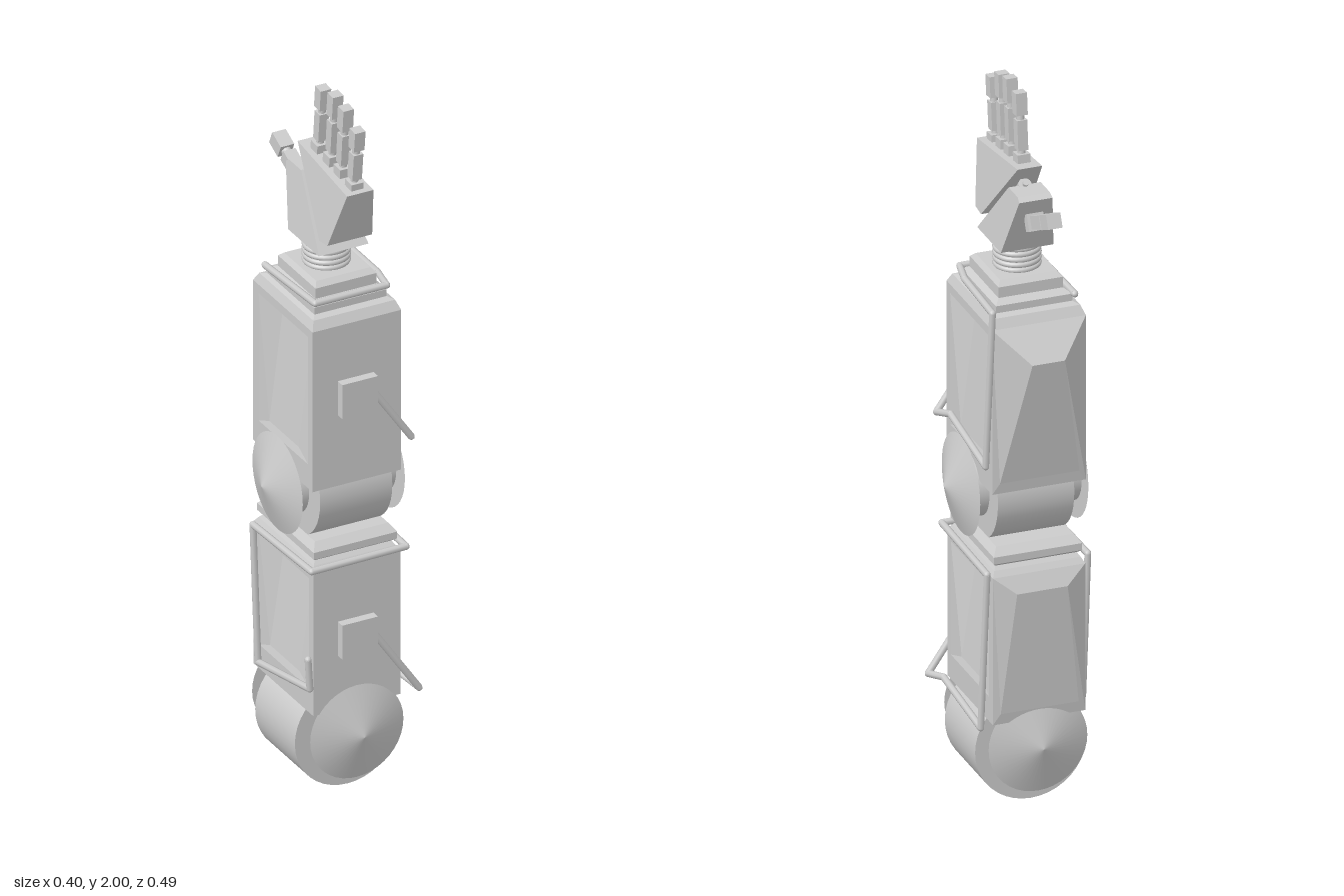
import * as THREE from 'three';

const mat = new THREE.MeshStandardMaterial({ color: 0xcccccc });
const flat = new THREE.MeshStandardMaterial({ color: 0xcccccc, flatShading: true });
const V = (x, y, z) => new THREE.Vector3(x, y, z);
const ZF = 0.197, ZB = -0.128; // front and back planes of the limb shells

function add(parent, name, geo, material = mat) {
  const m = new THREE.Mesh(geo, material);
  m.name = name;
  parent.add(m);
  return m;
}

// Fills a face from nested four-point rings, counter-clockwise seen from outside
function nestedFace(out, rings) {
  const quad = (a, b, c, d) => [a, b, c, a, c, d].forEach(p => out.push(...p));
  for (let i = 0; i + 1 < rings.length; i++)
    for (let k = 0; k < 4; k++) {
      const n = (k + 1) % 4;
      quad(rings[i][k], rings[i][n], rings[i + 1][n], rings[i + 1][k]);
    }
  quad(...rings[rings.length - 1]);
}

// Limb shell: recessed sides, bulging back, stepped top
function limbShell(parent, name, o) {
  const { w, y0, y1 } = o, out = [];
  const side = (x, zf, zb, lo, hi, xl = x) => [[xl, lo, zf], [xl, lo, zb], [x, hi, zb], [x, hi, zf]];
  const right = [
    side(w, ZF, ZB, y0, y1),
    side(w, 0.172, -0.098, y0 + 0.07, y1 - 0.025),
    side(w - 0.045, 0.11, -0.05, y0 + 0.09, y1 - 0.065, w - 0.006)
  ];
  nestedFace(out, right);
  nestedFace(out, right.map(r => r.map(([x, y, z]) => [-x, y, z]).reverse()));
  const back = (xl, xh, lo, hi, zl, zh) => [[xl, lo, zl], [-xl, lo, zl], [-xh, hi, zh], [xh, hi, zh]];
  nestedFace(out, [back(w, w, y0, y1, ZB, ZB), back(w - 0.02, o.bulgeW, y0 + 0.03, o.bulgeY, ZB - 0.004, o.bulgeZ)]);
  nestedFace(out, [[[-w, y0, ZF], [w, y0, ZF], [w, y1, ZF], [-w, y1, ZF]]]);
  nestedFace(out, [[[-w, y0, ZB], [w, y0, ZB], [w, y0, ZF], [-w, y0, ZF]]]);
  nestedFace(out, [[0, y1], ...o.top].map(([t, y]) => {
    const x = w - t * 0.68;
    return [[-x, y, ZF - t], [x, y, ZF - t], [x, y, ZB + t], [-x, y, ZB + t]];
  }));
  const g = new THREE.BufferGeometry();
  g.setAttribute('position', new THREE.Float32BufferAttribute(out, 3));
  g.computeVertexNormals();
  add(parent, name, g, flat);
}

// Rotary joint along local y: drum, hub and a shallow cone at each end
function joint(parent, name, drumR, drumHalf, hubHalf, tip, coneOffset = 0) {
  const g = new THREE.Group();
  g.name = name;
  add(g, 'drum', new THREE.CylinderGeometry(drumR, drumR, drumHalf * 2, 40));
  add(g, 'hub', new THREE.CylinderGeometry(0.09, 0.09, hubHalf * 2, 32)).position.z = coneOffset;
  for (const s of [1, -1]) {
    const c = add(g, 'coneCap', new THREE.ConeGeometry(0.137, tip - hubHalf, 40));
    c.position.set(0, s * (tip + hubHalf) / 2, coneOffset);
    if (s < 0) c.rotation.x = Math.PI;
  }
  parent.add(g);
  return g;
}

function rod(parent, name, a, b, r, sides = 8) {
  const m = add(parent, name, new THREE.CylinderGeometry(r, r, a.distanceTo(b), sides));
  m.position.copy(a).lerp(b, 0.5);
  m.quaternion.setFromUnitVectors(V(0, 1, 0), b.clone().sub(a).normalize());
}

// Cable: straight rods with round elbows
function cable(parent, name, pts) {
  const g = new THREE.Group();
  g.name = name;
  const p = pts.map(q => V(...q));
  p.forEach((v, i) => {
    add(g, 'bend', new THREE.SphereGeometry(0.0095, 8, 6)).position.copy(v);
    if (i) rod(g, 'cableSection', p[i - 1], v, 0.0095);
  });
  parent.add(g);
}

// Finger: three blocks on a thin core
function finger(parent, name, a, b, w) {
  const g = new THREE.Group();
  g.name = name;
  const len = a.distanceTo(b);
  add(g, 'core', new THREE.CylinderGeometry(w * 0.34, w * 0.34, len * 0.95, 10)).position.y = len * 0.475;
  for (const [s, e, k] of [[0, 0.15, 1.15], [0.2, 0.62, 0.9], [0.69, 1, 1]])
    add(g, 'segment', new THREE.BoxGeometry(w * k, (e - s) * len, w * k)).position.y = (s + e) / 2 * len;
  g.position.copy(a);
  g.quaternion.setFromUnitVectors(V(0, 1, 0), b.clone().sub(a).normalize());
  parent.add(g);
}

// Hand plate: (z, y) outline given width along x, narrowing upwards
function handPlate(parent, name, outline) {
  const s = new THREE.Shape(outline.map(([z, y]) => new THREE.Vector2(-z, y)));
  const g = new THREE.ExtrudeGeometry(s, { depth: 2, bevelEnabled: false });
  g.translate(0, 0, -1).rotateY(Math.PI / 2);
  const p = g.attributes.position;
  for (let i = 0; i < p.count; i++)
    p.setX(i, p.getX(i) * THREE.MathUtils.mapLinear(p.getY(i), 1.56, 1.8, 0.073, 0.034));
  g.computeVertexNormals();
  add(parent, name, g, flat);
}

export function createModel() {
  const arm = new THREE.Group();
  arm.name = 'mechanicalArm';

  // Shoulder and elbow joints
  const shoulder = joint(arm, 'shoulderJoint', 0.155, 0.108, 0.158, 0.203, -0.025);
  shoulder.rotation.x = Math.PI / 2;
  shoulder.position.set(0, 0.155, 0.038);
  const elbow = joint(arm, 'elbowJoint', 0.15, 0.106, 0.15, 0.198);
  elbow.rotation.z = Math.PI / 2;
  elbow.position.set(0, 0.875, 0.043);

  // Upper arm and forearm shells
  limbShell(arm, 'upperArm', {
    w: 0.128, y0: 0.255, y1: 0.675, bulgeW: 0.07, bulgeY: 0.63, bulgeZ: -0.152,
    top: [[0.012, 0.69], [0.022, 0.7], [0.008, 0.71], [0.008, 0.73], [0.03, 0.75]]
  });
  limbShell(arm, 'forearm', {
    w: 0.13, y0: 0.915, y1: 1.385, bulgeW: 0.045, bulgeY: 1.3, bulgeZ: -0.197,
    top: [[0.015, 1.41], [0.035, 1.415], [0.035, 1.435], [0.06, 1.445], [0.06, 1.475], [0.075, 1.488]]
  });

  // Front control blocks
  for (const y of [0.465, 1.173])
    add(arm, 'frontBlock', new THREE.BoxGeometry(0.105, 0.1, 0.04)).position.set(-0.004, y, 0.202);

  // Cables: front block, along the side, up the back corner, around the top
  cable(arm, 'forearmCable', [
    [0.045, 1.17, 0.205], [0.155, 1.01, 0.205], [0.145, 1.035, 0.13], [0.145, 0.995, -0.12],
    [0.13, 1.435, -0.13], [0.125, 1.44, 0.08], [0.11, 1.443, 0.155], [-0.1, 1.443, 0.155],
    [-0.11, 1.437, -0.1]
  ]);
  cable(arm, 'upperArmCable', [
    [0.045, 0.46, 0.205], [0.178, 0.265, 0.205], [0.16, 0.28, 0.14], [0.155, 0.245, -0.11],
    [0.145, 0.69, -0.13], [0.14, 0.69, 0.205], [-0.14, 0.69, 0.21], [-0.148, 0.685, -0.095],
    [-0.136, 0.28, -0.09], [-0.14, 0.34, 0.2], [-0.148, 0.43, 0.205]
  ]);

  // Bellows wrist
  add(arm, 'wristCore', new THREE.CylinderGeometry(0.05, 0.05, 0.1, 24)).position.set(0, 1.52, 0.03);
  for (let i = 0; i < 5; i++) {
    const ring = add(arm, 'wristRing', new THREE.TorusGeometry(0.057, 0.0075, 8, 32));
    ring.rotation.x = Math.PI / 2;
    ring.position.set(0, 1.492 + i * 0.015, 0.03);
  }

  // Hand plates split by a diagonal hinge
  handPlate(arm, 'palm', [[0.215, 1.77], [0.158, 1.605], [0.115, 1.6], [-0.063, 1.8]]);
  handPlate(arm, 'thumbBase', [[0.125, 1.56], [-0.043, 1.56], [-0.105, 1.725], [-0.09, 1.735], [-0.025, 1.735]]);
  const h0 = V(0, 1.605, 0.09), h1 = V(0, 1.745, -0.035);
  rod(arm, 'hingePin', h0, h1, 0.008);
  for (let i = 0; i < 5; i++)
    rod(arm, 'hingeKnuckle', h0.clone().lerp(h1, i / 5 + 0.03), h0.clone().lerp(h1, i / 5 + 0.15), 0.018, 12);

  // Fingers and thumb
  [[0.18, 1.765, 0.2, 1.95], [0.118, 1.775, 0.137, 1.985], [0.06, 1.782, 0.08, 1.998], [-0.006, 1.788, 0.013, 1.985]]
    .forEach(([z0, y0, z1, y1]) => finger(arm, 'finger', V(0, y0, z0), V(0, y1, z1), 0.031));
  finger(arm, 'thumb', V(0, 1.655, -0.085), V(0, 1.724, -0.236), 0.04);

  return arm;
}
